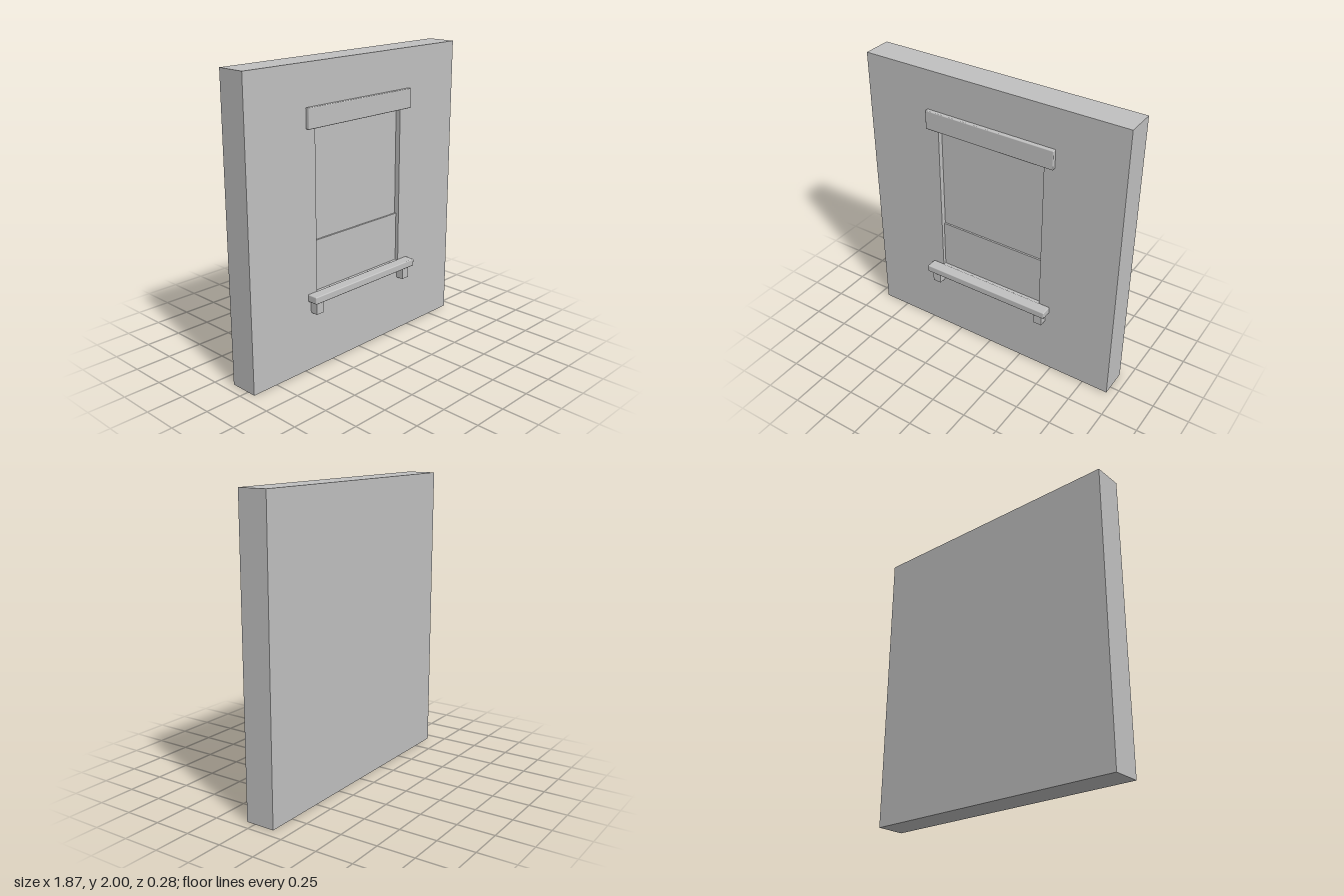
import * as THREE from 'three';
import { RoundedBoxGeometry } from 'three/addons/geometries/RoundedBoxGeometry.js';

export function createModel() {
  const model = new THREE.Group();
  model.name = 'wallWithWindow';
  const stone = new THREE.MeshStandardMaterial({ color: 0xc0c0c0 });
  stone.name = 'plain grey';

  const add = (name, geometry) => {
    const mesh = new THREE.Mesh(geometry, stone);
    mesh.name = name;
    model.add(mesh);
    return mesh;
  };

  // Block given by its lower and upper corners; a bevel rounds its edges
  const block = (name, [x0, y0, z0], [x1, y1, z1], bevel = 0) => {
    const size = [x1 - x0, y1 - y0, z1 - z0];
    const geometry = bevel
      ? new RoundedBoxGeometry(...size, 2, bevel)
      : new THREE.BoxGeometry(...size);
    add(name, geometry).position.set((x0 + x1) / 2, (y0 + y1) / 2, (z0 + z1) / 2);
  };

  const back = -0.14, front = 0.06;
  const halfWall = 0.935, halfOpening = 0.39;
  const openingBottom = 0.525, step = 0.865, openingTop = 1.605;

  // Wall slab with the window opening
  const rectangle = (Type, half, y0, y1) => new Type([
    new THREE.Vector2(-half, y0), new THREE.Vector2(half, y0),
    new THREE.Vector2(half, y1), new THREE.Vector2(-half, y1),
  ]);
  const outline = rectangle(THREE.Shape, halfWall, 0, 2);
  outline.holes.push(rectangle(THREE.Path, halfOpening, openingBottom, openingTop));
  const wall = new THREE.ExtrudeGeometry(outline, { depth: front - back, bevelEnabled: false });
  add('wall', wall.translate(0, 0, back));

  // Recessed panels filling the opening, the lower one slightly proud
  block('lowerPanel', [-halfOpening, openingBottom, back], [halfOpening, step, 0.036]);
  block('upperPanel', [-halfOpening, step, back], [halfOpening, openingTop, 0.024]);

  // Lintel above and sill below, with softened edges
  block('lintel', [-0.467, 1.6, front], [0.467, 1.732, 0.09], 0.006);
  block('sill', [-0.472, 0.482, front], [0.472, 0.532, 0.138], 0.007);

  // Small brackets carrying the sill
  for (const [name, x] of [['rightBracket', -0.415], ['leftBracket', 0.412]]) {
    block(name, [x - 0.03, 0.398, front], [x + 0.03, 0.483, 0.113]);
  }
  return model;
}
